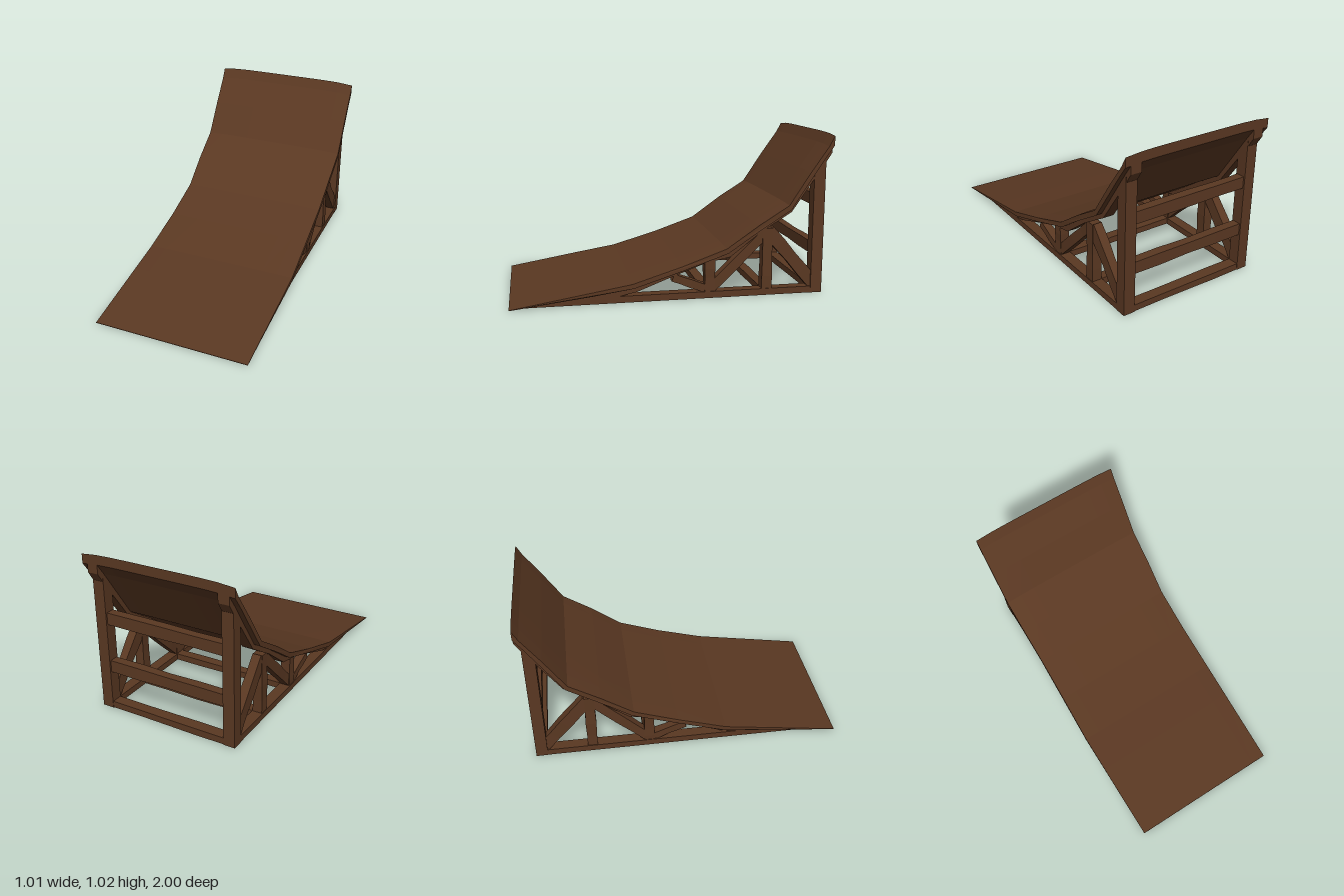
import * as THREE from 'three';

const wood = new THREE.MeshStandardMaterial({ color: 0x5a3822, flatShading: true });

// Side profiles as [z, y] points, front to back
const deckTop = [[1, 0.003], [0.5, 0.09], [0.26, 0.128], [-0.05, 0.222], [-0.33, 0.322], [-0.53, 0.465], [-0.72, 0.585], [-0.85, 0.785], [-0.965, 0.95], [-1, 1.015]];
const deckBottom = [[-1, 0.955], [-0.95, 0.885], [-0.735, 0.558], [-0.54, 0.432], [-0.34, 0.292], [-0.05, 0.192], [0.25, 0.1], [0.5, 0.062], [1, 0]];
const stringerBottom = [[0.95, 0.002], [0.36, 0.037], [0.23, 0.064], [0, 0.152], [-0.2, 0.225], [-0.36, 0.258], [-0.55, 0.405], [-0.75, 0.53], [-0.965, 0.84], [-1, 0.895]];

// Extrudes a [z, y] outline across x, from x0 to x1
function slab(points, x0, x1, steps = 1) {
  const shape = new THREE.Shape(points.map(([z, y]) => new THREE.Vector2(z, y)));
  const geo = new THREE.ExtrudeGeometry(shape, { depth: x1 - x0, steps, bevelEnabled: false });
  geo.rotateY(-Math.PI / 2);
  return geo.translate(x1, 0, 0);
}

// Beam between two points with slightly uneven, hand-cut sides
let beamCount = 0;
function beam(name, a, b, depth, width) {
  const start = new THREE.Vector3(...a), end = new THREE.Vector3(...b);
  const length = start.distanceTo(end);
  const geo = new THREE.BoxGeometry(depth, width, length, 1, 1, 4);
  const pos = geo.attributes.position;
  const phase = ++beamCount * 1.7;
  for (let i = 0; i < pos.count; i++) {
    const t = pos.getZ(i) / length;
    const s = 1 + 0.07 * Math.sin(t * 9 + phase) * (1 - 4 * t * t);
    pos.setXY(i, pos.getX(i) * s, pos.getY(i) * s);
  }
  const mesh = new THREE.Mesh(geo, wood);
  mesh.name = name;
  mesh.position.copy(start).lerp(end, 0.5);
  mesh.lookAt(end);
  return mesh;
}

export function createModel() {
  const ramp = new THREE.Group();
  ramp.name = 'ramp';

  // Curved riding deck with worn edges
  const deckGeo = slab([...deckTop, ...deckBottom], -0.5, 0.5, 10);
  const pos = deckGeo.attributes.position;
  for (let i = 0; i < pos.count; i++) {
    const x = pos.getX(i), y = pos.getY(i), z = pos.getZ(i);
    const edge = Math.pow(2 * x, 6);
    pos.setY(i, Math.max(0, y - 0.013 * edge * y));
    pos.setX(i, x + 0.007 * Math.sin(z * 6.3) * edge * Math.sign(x) * (1 - z * z));
  }
  deckGeo.computeVertexNormals();
  const deck = new THREE.Mesh(deckGeo, wood);
  deck.name = 'deck';
  ramp.add(deck);

  // One timber frame under each edge
  for (const side of [-1, 1]) {
    const frame = new THREE.Group();
    frame.name = side > 0 ? 'leftFrame' : 'rightFrame';
    const x = side * 0.43;

    const stringer = new THREE.Mesh(slab([...stringerBottom, ...deckBottom], x - 0.035, x + 0.035), wood);
    stringer.name = 'stringer';
    const rail = new THREE.Mesh(slab([[0.96, 0], [0.36, 0.042], [-0.96, 0.042], [-0.96, 0]], x - 0.035, x + 0.035), wood);
    rail.name = 'baseRail';
    frame.add(stringer, rail);

    const backPost = new THREE.Mesh(slab([[-0.89, 0], [-0.89, 0.76], [-0.963, 0.87], [-0.963, 0]], x - 0.037, x + 0.037), wood);
    backPost.name = 'backPost';
    frame.add(backPost);

    frame.add(
      beam('middlePost', [x, 0.02, -0.6], [x, 0.43, -0.6], 0.062, 0.064),
      beam('shortPost', [x, 0.02, -0.232], [x, 0.24, -0.232], 0.062, 0.064),
      beam('frontBrace', [x, 0.14, 0.0], [x, 0.05, -0.23], 0.055, 0.05),
      beam('middleBrace', [x, 0.04, -0.22], [x, 0.41, -0.6], 0.055, 0.062),
      beam('backBrace', [x, 0.41, -0.61], [x, 0.06, -0.91], 0.055, 0.08)
    );
    ramp.add(frame);
  }

  // Crossbars joining the frames: two along the floor, three up the back
  for (const [y, z, h, d] of [[0.022, -0.232, 0.042, 0.064], [0.022, -0.6, 0.042, 0.064], [0.022, -0.925, 0.042, 0.07], [0.285, -0.925, 0.075, 0.055], [0.6, -0.925, 0.075, 0.055]]) {
    const bar = beam('crossbar', [-0.41, y, z], [0.41, y, z], d, h);
    ramp.add(bar);
  }
  return ramp;
}
